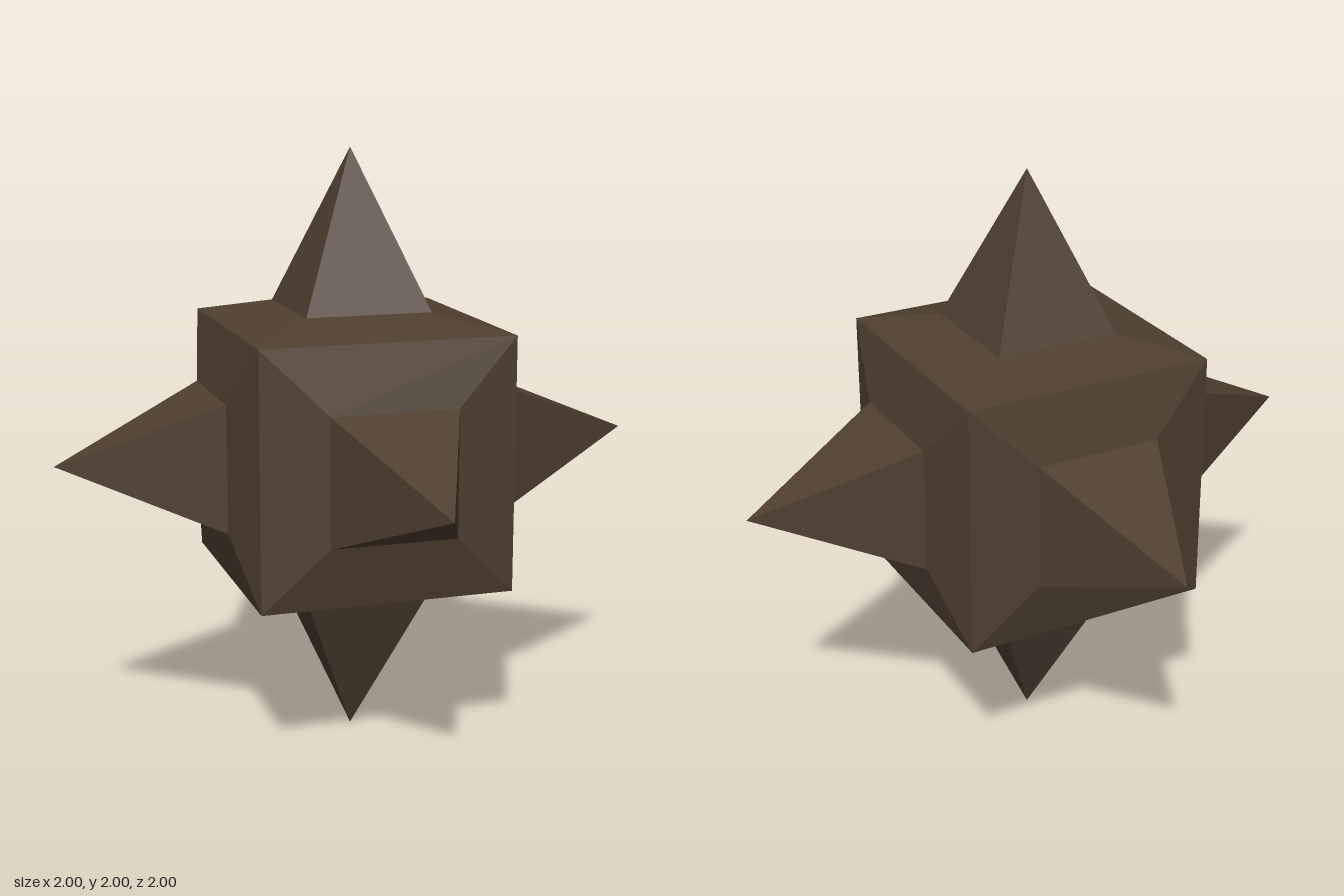
import * as THREE from 'three';

const CORE = 0.425;   // half width of the cubic core
const BASE = 0.212;   // half width of a spike's base
const RISE = 0.478;   // distance from the centre to a spike's base
const TIP = 1;        // distance from the centre to a spike's tip

// Open four-sided frustum along +y with flat faces, sides square to x and z
function squareFrustum(bottomHalf, topHalf, y0, y1) {
  const g = new THREE.CylinderGeometry(topHalf * Math.SQRT2, bottomHalf * Math.SQRT2, y1 - y0, 4, 1, true)
    .rotateY(Math.PI / 4)
    .translate(0, (y0 + y1) / 2, 0)
    .toNonIndexed();
  g.computeVertexNormals();
  return g;
}

export function createModel() {
  const model = new THREE.Group();
  model.name = 'spikedCube';

  const brown = new THREE.MeshStandardMaterial({ color: 0x4f3f30 });
  brown.name = 'darkBrown';

  const slopeGeometry = squareFrustum(CORE, BASE, CORE, RISE);
  const spikeGeometry = squareFrustum(BASE, 0, RISE, TIP);

  // One sloped face and one spike for each side of the core
  const sides = {
    top: [0, 0, 0],
    bottom: [Math.PI, 0, 0],
    front: [Math.PI / 2, 0, 0],
    back: [-Math.PI / 2, 0, 0],
    left: [0, 0, -Math.PI / 2],
    right: [0, 0, Math.PI / 2],
  };
  for (const [name, rotation] of Object.entries(sides)) {
    const side = new THREE.Group();
    side.name = name + 'Side';
    const slope = new THREE.Mesh(slopeGeometry, brown);
    slope.name = name + 'SlopedFace';
    const spike = new THREE.Mesh(spikeGeometry, brown);
    spike.name = name + 'Spike';
    side.add(slope, spike);
    side.rotation.set(...rotation);
    side.position.y = TIP;
    model.add(side);
  }
  return model;
}
